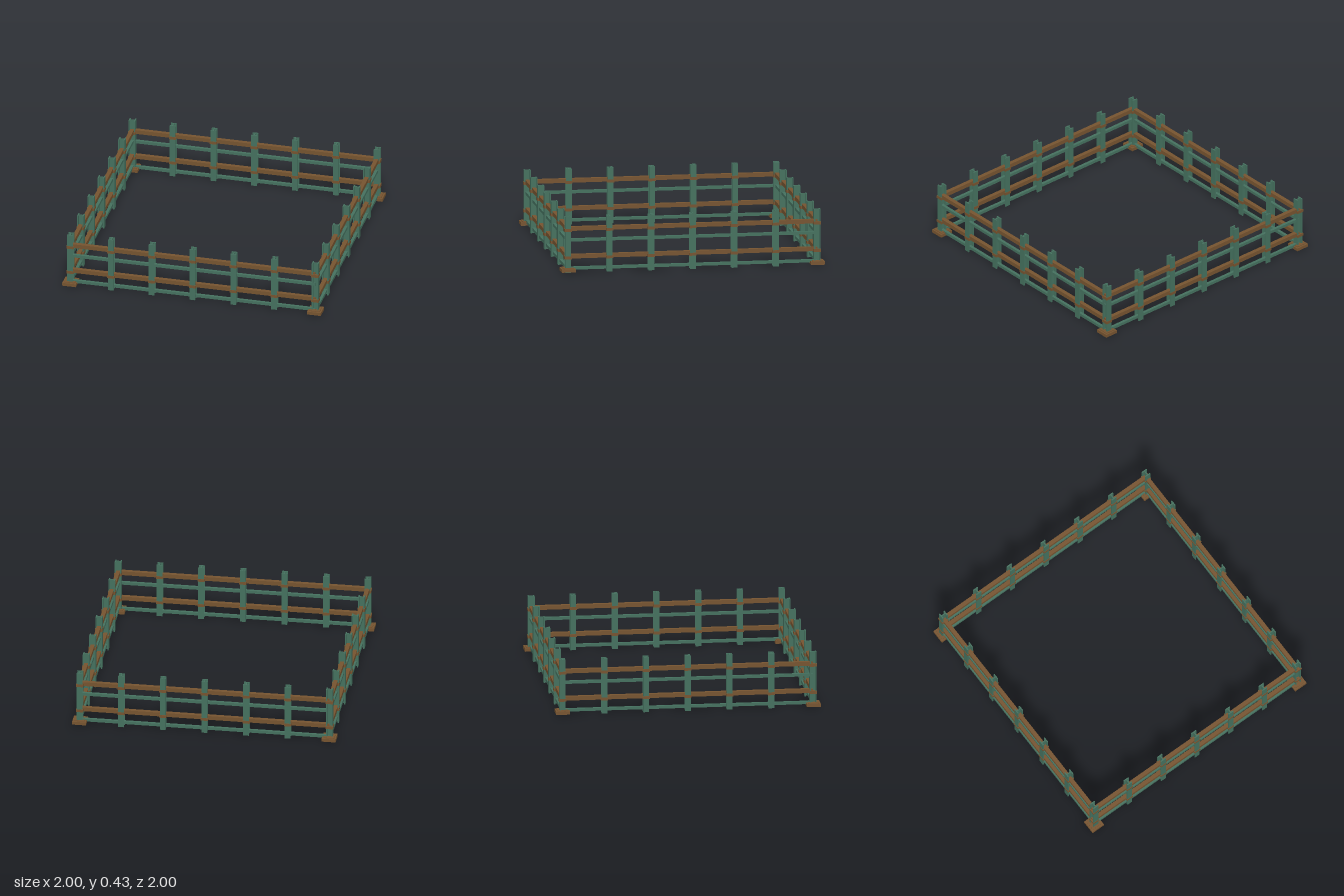
import * as THREE from 'three';

const HALF = 0.947;          // post line distance from the centre
const STEP = HALF / 3;       // post spacing

export function createModel() {
  const green = new THREE.MeshStandardMaterial({ color: 0x44705e });
  green.name = 'green paint';
  const brown = new THREE.MeshStandardMaterial({ color: 0x75532f });
  brown.name = 'brown wood';

  const model = new THREE.Group();
  model.name = 'fence';

  function box(parent, name, mat, w, h, d, x, y, z) {
    const mesh = new THREE.Mesh(new THREE.BoxGeometry(w, h, d), mat);
    mesh.name = name;
    mesh.position.set(x, y, z);
    parent.add(mesh);
  }

  // H-section post: two flanges joined by a web across the rail line
  const W = 0.022, D = 0.025, T = 0.009, B = 0.004;
  const section = new THREE.Shape([
    [-W, -D], [W, -D], [W, -D + T], [B, -D + T], [B, D - T], [W, D - T],
    [W, D], [-W, D], [-W, D - T], [-B, D - T], [-B, -D + T], [-W, -D + T],
  ].map(([x, y]) => new THREE.Vector2(x, y)));
  const postGeometry = new THREE.ExtrudeGeometry(section, { depth: 0.426, bevelEnabled: false });
  postGeometry.rotateX(-Math.PI / 2);

  function addPost(parent, x) {
    const post = new THREE.Group();
    post.name = 'post';
    post.position.x = x;
    const beam = new THREE.Mesh(postGeometry, green);
    beam.name = 'postBeam';
    post.add(beam);
    // Collars carrying the wooden rails
    for (const y of [0.113, 0.323]) {
      box(post, 'railCollar', brown, 0.054, 0.022, 0.056, 0, y, 0);
    }
    parent.add(post);
  }

  // Four identical sides, each owning one corner
  for (let i = 0; i < 4; i++) {
    const pivot = new THREE.Group();
    pivot.name = 'fenceSide';
    pivot.rotation.y = i * Math.PI / 2;
    const side = new THREE.Group();
    side.name = 'sidePanel';
    side.position.z = HALF;
    pivot.add(side);

    for (let k = -3; k < 3; k++) addPost(side, k * STEP);
    for (const y of [0.122, 0.333]) {
      box(side, 'woodRail', brown, 2 * HALF, 0.031, 0.031, 0, y, 0);
    }
    for (const y of [0.031, 0.246]) {
      box(side, 'metalRail', green, 2 * HALF, 0.022, 0.022, 0, y, 0);
    }
    // Corner foot
    box(side, 'cornerPad', brown, 0.106, 0.024, 0.106, -HALF, 0.019, 0);
    box(side, 'cornerPadTop', brown, 0.08, 0.006, 0.08, -HALF, 0.033, 0);
    model.add(pivot);
  }
  return model;
}
